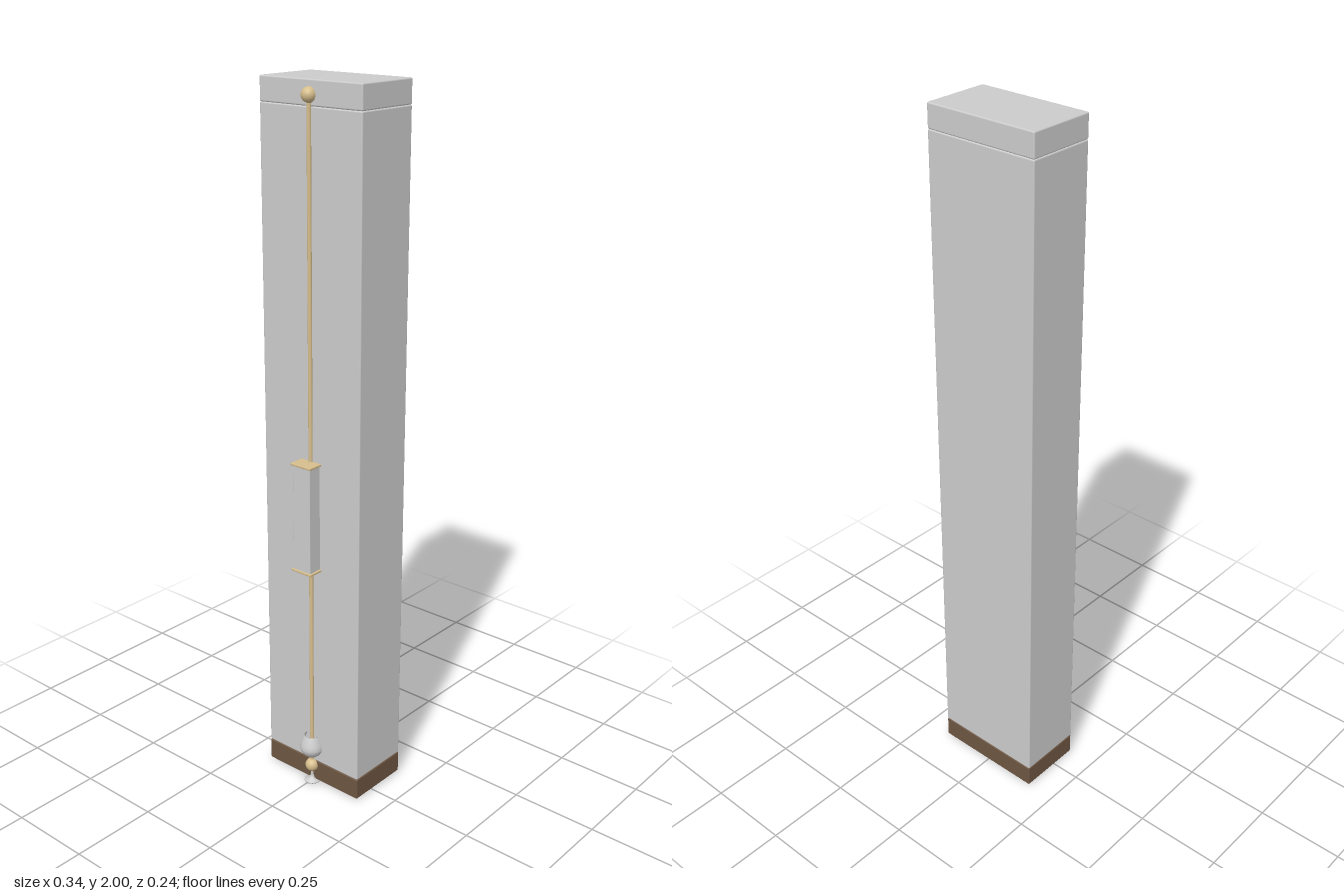
import * as THREE from 'three';
import { RoundedBoxGeometry } from 'three/addons/geometries/RoundedBoxGeometry.js';

const material = (color, side = THREE.FrontSide) => new THREE.MeshStandardMaterial({ color, side });

export function createModel() {
  const model = new THREE.Group();
  const grey = material(0xcccccc);
  const glass = material(0xcccccc, THREE.DoubleSide);
  const gold = material(0xd6bd8c);
  const wood = material(0x6e5642);
  const cordZ = 0.076;

  const add = (name, geometry, mat, x, y, z) => {
    const mesh = new THREE.Mesh(geometry, mat);
    mesh.name = name;
    mesh.position.set(x, y, z);
    model.add(mesh);
    return mesh;
  };
  // Softly rounded box spanning y0..y1
  const slab = (name, w, d, y0, y1, z, mat, r) =>
    add(name, new RoundedBoxGeometry(w, y1 - y0, d, 2, r), mat, 0, (y0 + y1) / 2, z);

  // Case: wooden base, tall body and cap
  slab('base', 0.335, 0.195, 0.005, 0.069, -0.0235, wood, 0.004);
  slab('body', 0.335, 0.195, 0.069, 1.935, -0.0235, grey, 0.004);
  slab('cap', 0.335, 0.195, 1.935, 2, -0.0235, grey, 0.004);

  // Thin rod down the front, with a ball near each end
  add('rod', new THREE.CylinderGeometry(0.006, 0.006, 1.9, 16), gold, 0, 1.01, cordZ);
  for (const [name, y] of [['topBall', 1.963], ['bottomBall', 0.053]]) {
    add(name, new THREE.SphereGeometry(0.02, 24, 16), gold, 0, y, cordZ);
  }

  // Rectangular block on the rod, closed by two thin plates
  slab('block', 0.06, 0.043, 0.692, 1.001, 0.0935, grey, 0.002);
  slab('blockTopPlate', 0.07, 0.048, 0.999, 1.006, 0.095, gold, 0.002);
  slab('blockBottomPlate', 0.07, 0.048, 0.687, 0.694, 0.095, gold, 0.002);

  // Goblet at the foot of the rod: bowl, stem and foot
  const profile = [
    [0, 0], [0.023, 0], [0.023, 0.003], [0.008, 0.009], [0.004, 0.02], [0.004, 0.078],
    [0.014, 0.084], [0.027, 0.095], [0.034, 0.106], [0.036, 0.116], [0.033, 0.128], [0.023, 0.154],
    [0.021, 0.154], [0.031, 0.127], [0.033, 0.115], [0.025, 0.097], [0, 0.084],
  ].map(([r, y]) => new THREE.Vector2(r, y));
  add('goblet', new THREE.LatheGeometry(profile, 32), glass, 0, 0, cordZ);

  return model;
}
